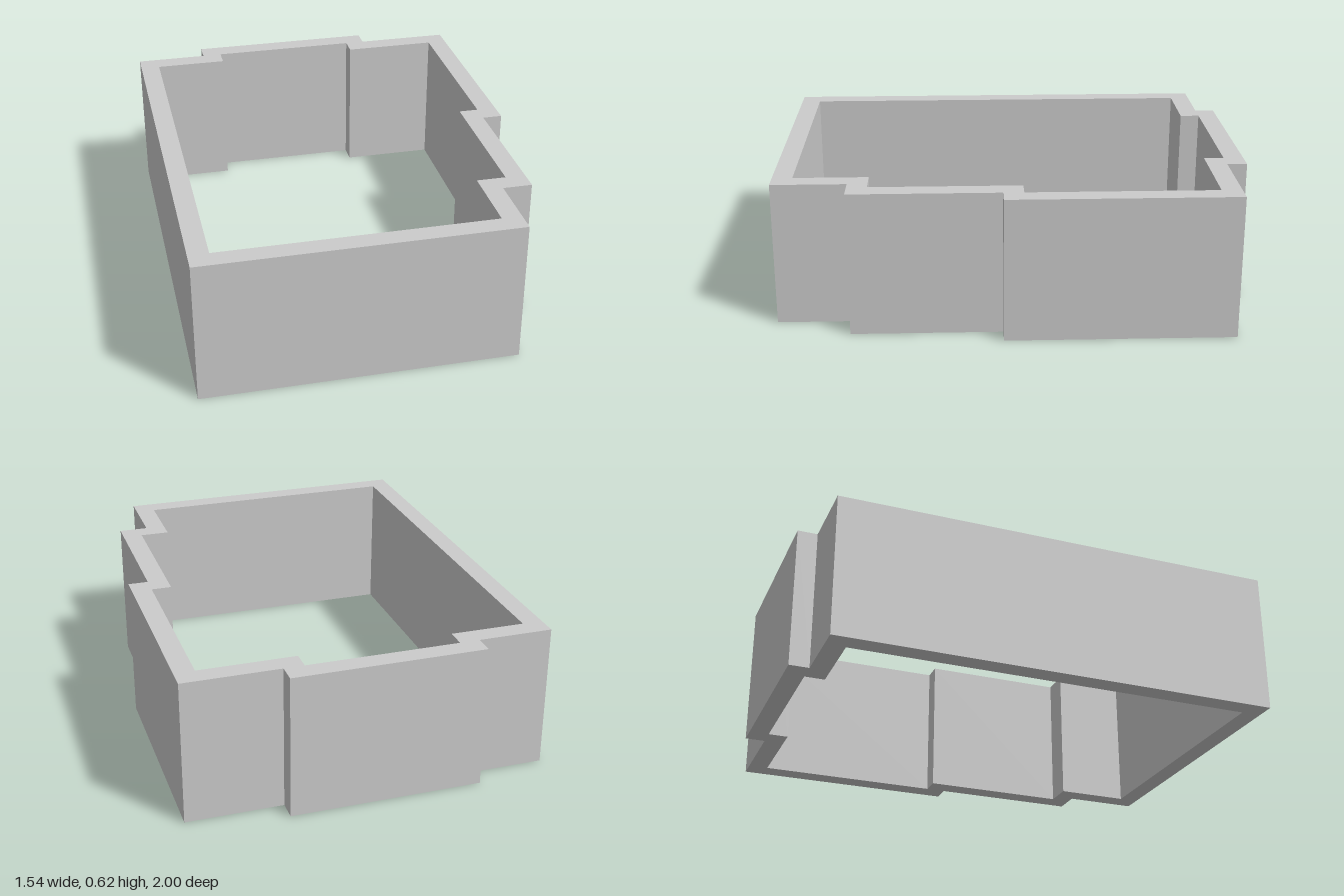
import * as THREE from 'three';

const HEIGHT = 0.615;
const WALL = 0.085;

// Outer footprint as [x, z], stepping round the plan from the front left corner
const OUTLINE = [
  [-0.77, 1], [0.56, 1], [0.56, 0.685], [0.685, 0.685], [0.685, 0.05], [0.77, 0.05],
  [0.77, -0.915], [0.36, -0.915], [0.36, -1], [-0.455, -1], [-0.455, -0.915], [-0.77, -0.915],
];

// Moves every edge of a right-angled outline inward by d
function inset(points, d) {
  const n = points.length;
  const inward = (a, b) => [Math.sign(b[1] - a[1]) * d, -Math.sign(b[0] - a[0]) * d];
  return points.map((p, i) => {
    const before = inward(points[(i + n - 1) % n], p);
    const after = inward(p, points[(i + 1) % n]);
    return [p[0] + before[0] + after[0], p[1] + before[1] + after[1]];
  });
}

const toPlan = (points) => points.map(([x, z]) => new THREE.Vector2(x, -z));

export function createModel() {
  const group = new THREE.Group();
  group.name = 'wallEnclosure';

  // Continuous wall ring, open at top and bottom
  const plan = new THREE.Shape(toPlan(OUTLINE));
  plan.holes.push(new THREE.Path(toPlan(inset(OUTLINE, WALL))));
  const geometry = new THREE.ExtrudeGeometry(plan, { depth: HEIGHT, bevelEnabled: false });
  geometry.rotateX(-Math.PI / 2);

  const walls = new THREE.Mesh(
    geometry,
    new THREE.MeshStandardMaterial({ color: 0xcccccc, flatShading: true }),
  );
  walls.name = 'perimeterWall';
  group.add(walls);
  return group;
}
